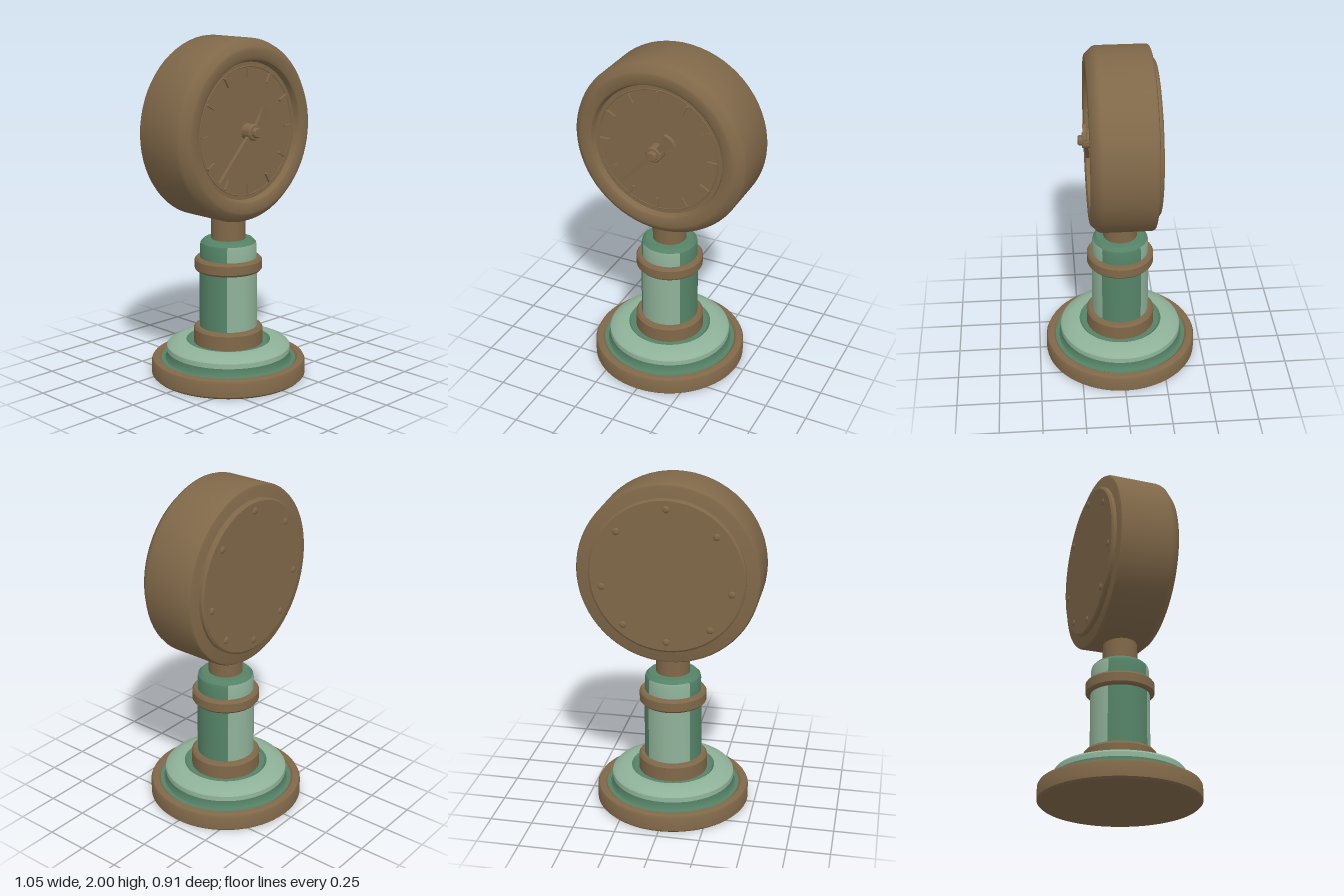
import * as THREE from 'three';
import { toCreasedNormals } from 'three/addons/utils/BufferGeometryUtils.js';

const paint = (name, color) => {
  const m = new THREE.MeshStandardMaterial({ color });
  m.name = name;
  return m;
};

export function createModel() {
  const model = new THREE.Group();
  model.name = 'pressureGauge';
  const bronze = paint('bronze', 0x806849);
  const lightGreen = paint('lightVerdigris', 0x8fb299);
  const darkGreen = paint('darkVerdigris', 0x558367);

  const add = (name, geometry, material, parent = model) => {
    const mesh = new THREE.Mesh(geometry, material);
    mesh.name = name;
    parent.add(mesh);
    return mesh;
  };
  // Turned profile of [radius, height] pairs, listed from bottom to top
  const turned = (profile, segments = 64, start = 0, sweep = Math.PI * 2) =>
    toCreasedNormals(new THREE.LatheGeometry(
      profile.map(([r, y]) => new THREE.Vector2(r, y)), segments, start, sweep), 0.6);
  const turn = (name, profile, material, parent) => add(name, turned(profile), material, parent);

  // Weathered turning: light at front and back, dark at both sides
  const quartered = (name, profile) => {
    const half = 0.82;
    for (let i = 0; i < 4; i++) {
      const width = i % 2 ? Math.PI - 2 * half : 2 * half;
      add(name + (i + 1), turned(profile, 16, i * Math.PI / 2 - width / 2, width),
        i % 2 ? darkGreen : lightGreen);
    }
  };

  // Stepped round base
  turn('baseFlange', [[0, 0], [0.445, 0], [0.457, 0.012], [0.457, 0.09], [0.45, 0.104],
    [0.437, 0.11], [0.412, 0.11], [0.4, 0.1]], bronze);
  turn('baseGroove', [[0.4, 0.1], [0.378, 0.1], [0.368, 0.115], [0.368, 0.15]], darkGreen);
  turn('baseDome', [[0.368, 0.15], [0.366, 0.178], [0.355, 0.19], [0.3, 0.21], [0.25, 0.212]], lightGreen);
  turn('collarGroove', [[0.25, 0.212], [0.235, 0.2], [0.19, 0.2]], darkGreen);
  turn('collar', [[0.205, 0.2], [0.205, 0.285], [0.193, 0.3], [0.16, 0.3]], bronze);

  // Column with a band and a rounded cap
  quartered('column', [[0.17, 0.29], [0.17, 0.66]]);
  turn('columnBand', [[0.16, 0.64], [0.188, 0.64], [0.198, 0.652], [0.198, 0.704],
    [0.188, 0.717], [0.155, 0.717]], bronze);
  quartered('columnCap', [[0.166, 0.71], [0.166, 0.79], [0.162, 0.808]]);
  turn('capShoulder', [[0.162, 0.808], [0.142, 0.828], [0.09, 0.83]], darkGreen);
  turn('neck', [[0.1, 0.82], [0.1, 1.0]], bronze);

  // Gauge head: local z is the dial axis
  const head = new THREE.Group();
  head.name = 'gaugeHead';
  head.position.y = 1.475;
  model.add(head);
  const turnHead = (name, profile) => {
    turn(name, profile, bronze, head).rotation.x = Math.PI / 2;
  };
  turnHead('caseAndBezel', [[0, -0.178], [0.505, -0.178], [0.518, -0.173], [0.525, -0.16],
    [0.525, 0.125], [0.518, 0.145], [0.478, 0.187], [0.465, 0.19], [0.42, 0.19],
    [0.405, 0.182], [0.392, 0.15], [0, 0.15]]);
  turnHead('backPlate', [[0, -0.205], [0.437, -0.205], [0.448, -0.196], [0.448, -0.17]]);
  add('dialRing', new THREE.TorusGeometry(0.367, 0.004, 6, 64), bronze, head).position.z = 0.15;

  // Hour-spaced dial ticks
  for (let i = 0; i < 12; i++) {
    const a = i * Math.PI / 6;
    const tick = add('dialTick', new THREE.BoxGeometry(0.06, 0.013, 0.02), bronze, head);
    tick.position.set(0.332 * Math.cos(a), 0.332 * Math.sin(a), 0.154);
    tick.rotation.z = a;
  }

  // Tapered needle with a flared tail
  const outline = new THREE.Shape();
  outline.moveTo(0, -0.355);
  outline.lineTo(0.017, -0.03);
  outline.lineTo(0.016, 0.05);
  outline.quadraticCurveTo(0.022, 0.1, 0.046, 0.147);
  outline.quadraticCurveTo(0, 0.18, -0.046, 0.147);
  outline.quadraticCurveTo(-0.022, 0.1, -0.016, 0.05);
  outline.lineTo(-0.017, -0.03);
  outline.closePath();
  const needle = add('needle', new THREE.ExtrudeGeometry(outline,
    { depth: 0.022, bevelEnabled: false, curveSegments: 8 }), bronze, head);
  needle.rotation.set(0.06, 0, -0.75, 'ZXY');
  needle.position.z = 0.183;
  turnHead('needleHub', [[0.047, 0.14], [0.047, 0.207], [0.04, 0.215], [0.029, 0.215],
    [0.029, 0.231], [0.023, 0.238], [0, 0.238]]);

  // Back plate rivets
  const rivets = [[0, 0.39], [0, -0.385]];
  for (const s of [-1, 1]) rivets.push([s * 0.28, 0.25], [s * 0.37, -0.075], [s * 0.25, -0.295]);
  for (const [x, y] of rivets) {
    const rivet = add('rivet', new THREE.SphereGeometry(0.021, 16, 10), bronze, head);
    rivet.position.set(x, y, -0.203);
    rivet.scale.z = 0.5;
  }
  return model;
}
